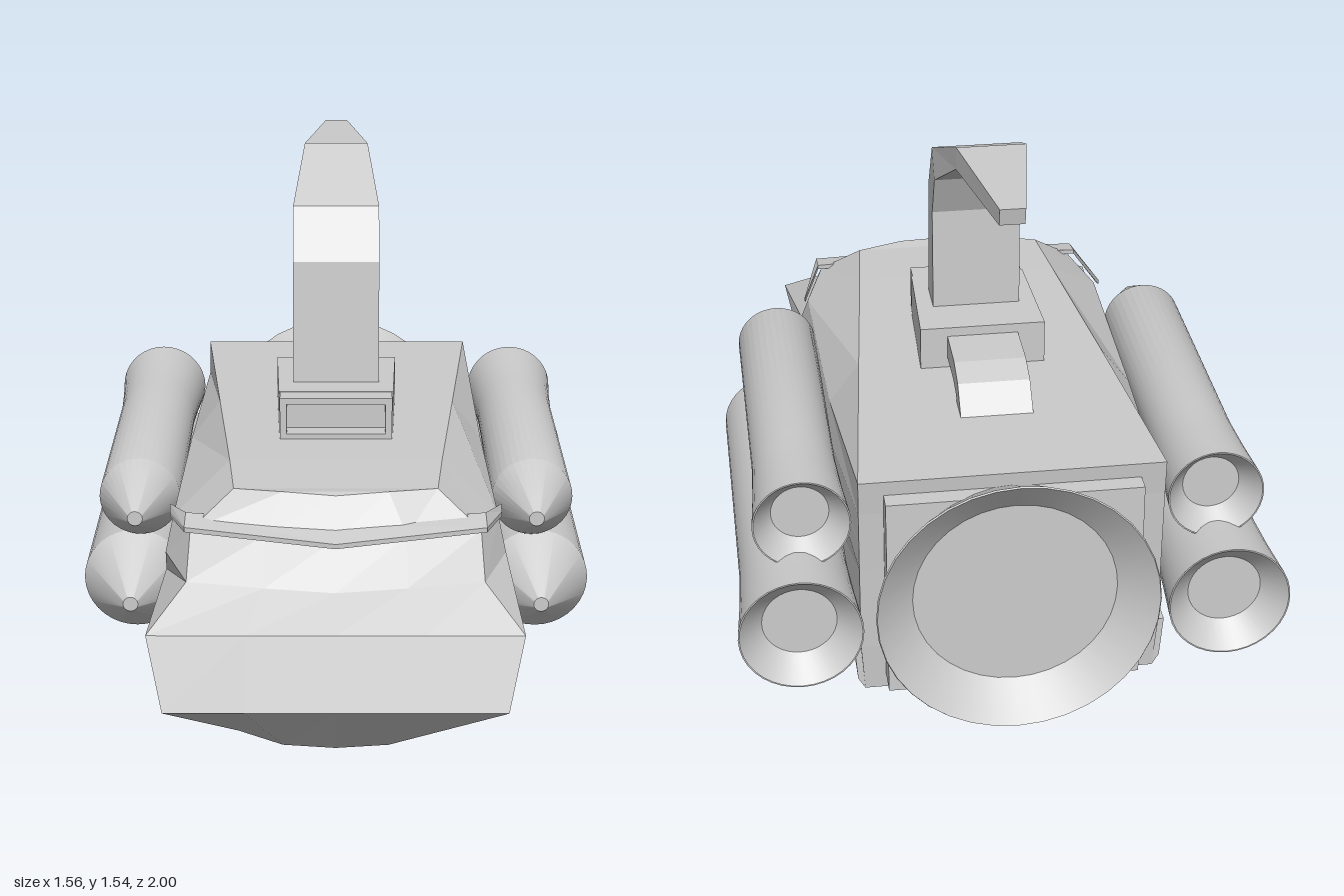
import * as THREE from 'three';
import { toCreasedNormals } from 'three/addons/utils/BufferGeometryUtils.js';

const flat = new THREE.MeshStandardMaterial({ color: 0xcccccc, flatShading: true });
const smooth = new THREE.MeshStandardMaterial({ color: 0xcccccc });

function mesh(name, geometry, material = flat) {
  const m = new THREE.Mesh(geometry, material);
  m.name = name;
  return m;
}

// Skins a list of rings; rings run counter-clockwise seen from the last ring's side.
// End caps join point i to point n-1-i.
function loft(rings) {
  const pos = [];
  const tri = (a, b, c) => {
    const [A, B, C] = [a, b, c].map((p) => new THREE.Vector3(...p));
    if (B.sub(A).cross(C.sub(A)).length() > 1e-9) pos.push(...a, ...b, ...c);
  };
  const quad = (a, b, c, d) => { tri(a, b, c); tri(a, c, d); };
  const n = rings[0].length;
  for (let r = 0; r < rings.length - 1; r++) {
    const [a, b] = [rings[r], rings[r + 1]];
    for (let i = 0; i < n; i++) {
      const j = (i + 1) % n;
      quad(a[i], a[j], b[j], b[i]);
    }
  }
  const first = rings[0], last = rings[rings.length - 1];
  for (let i = 0; i < n / 2 - 1; i++) {
    quad(last[i], last[i + 1], last[n - 2 - i], last[n - 1 - i]);
    quad(first[n - 1 - i], first[n - 2 - i], first[i + 1], first[i]);
  }
  const g = new THREE.BufferGeometry();
  g.setAttribute('position', new THREE.Float32BufferAttribute(pos, 3));
  g.computeVertexNormals();
  return g;
}

// Half outline, front to back, completed by its mirror image
const mirrored = (half) => [...half, ...half.map(([x, y, z]) => [-x, y, z]).reverse()];

// Bent bar from stations [halfWidth, frontY, frontZ, backY, backZ]
const bar = (stations) => loft(stations.map(([w, fy, fz, by, bz]) => mirrored([[w, fy, fz], [w, by, bz]])));

// Turned part along z, profile points [radius, z] from rear to front
function turned(profile) {
  const g = new THREE.LatheGeometry(profile.map(([r, z]) => new THREE.Vector2(r, z)), 36);
  g.rotateX(Math.PI / 2);
  return toCreasedNormals(g, 0.5);
}

export function createModel() {
  const model = new THREE.Group();
  model.name = 'rocketVehicle';

  // Hull: outlines stacked from keel to roof, points [x, y, z]
  model.add(mesh('hull', loft([
    [[0, 0.065, 0.8], [0.15, 0.07, 0.79], [0.28, 0.07, 0.7], [0.37, 0.065, 0.3], [0.42, 0.06, -0.12], [0.42, 0.055, -0.82]],
    [[0, 0.27, 1], [0.25, 0.27, 1], [0.475, 0.27, 1], [0.47, 0.24, 0.3], [0.45, 0.2, -0.12], [0.43, 0.2, -0.83]],
    [[0, 0.47, 0.93], [0.25, 0.47, 0.93], [0.52, 0.47, 0.93], [0.495, 0.47, 0.45], [0.475, 0.47, -0.2], [0.43, 0.47, -0.84]],
    [[0, 0.545, 0.81], [0.2, 0.555, 0.8], [0.415, 0.57, 0.79], [0.49, 0.555, 0.53], [0.47, 0.56, -0.2], [0.43, 0.56, -0.845]],
    [[0, 0.66, 0.7], [0.2, 0.665, 0.68], [0.41, 0.67, 0.65], [0.47, 0.645, 0.47], [0.455, 0.65, -0.2], [0.43, 0.66, -0.85]],
    [[0, 0.765, 0.63], [0.15, 0.77, 0.61], [0.29, 0.765, 0.57], [0.31, 0.77, 0.35], [0.365, 0.77, -0.2], [0.43, 0.765, -0.86]],
  ].map(mirrored))));

  // Lower skirt under the rear half
  model.add(mesh('skirt', loft([
    [[0.42, 0.05, -0.14], [0.42, 0.05, -0.82]],
    [[0.44, 0.085, -0.125], [0.44, 0.085, -0.82]],
    [[0.45, 0.21, -0.07], [0.45, 0.21, -0.82]],
  ].map(mirrored))));

  // Visor wrapping over the windscreen: [x, outerY, outerZ, innerY, innerZ]
  const half = [[0.48, 0.642, 0.47, 0.655, 0.44], [0.425, 0.675, 0.68, 0.69, 0.6], [0, 0.652, 0.75, 0.675, 0.66]];
  const visor = [...half.slice(0, 2).map(([x, ...r]) => [-x, ...r]), ...half.slice().reverse()];
  model.add(mesh('visor', loft(visor.map(([x, oy, oz, iy, iz]) =>
    [[x, oy, oz], [x, iy, iz], [x, iy + 0.014, iz], [x, oy + 0.014, oz]]))));

  // Rear plate and main nozzle
  const plate = mesh('rearPlate', new THREE.BoxGeometry(0.72, 0.62, 0.1));
  plate.position.set(0, 0.41, -0.86);
  model.add(plate);
  const nozzle = mesh('mainNozzle', turned([[0, -0.915], [0.29, -0.915], [0.397, -1], [0.4, -0.995], [0.31, -0.84], [0, -0.84]]), smooth);
  nozzle.position.y = 0.405;
  model.add(nozzle);

  // Two boosters on each side: [name, x, y, radius, flareRadius, shoulderZ, rearZ]
  for (const [name, x, y, r, flare, shoulder, rear] of [
    ['upperBooster', 0.585, 0.62, 0.12, 0.138, 0.25, -0.82],
    ['lowerBooster', 0.605, 0.35, 0.155, 0.175, 0.23, -0.96],
  ]) {
    const g = turned([
      [0, rear + 0.07], [r * 0.68, rear + 0.07], [flare - 0.004, rear], [flare, rear],
      [r + (flare - r) * 0.4, rear + 0.15], [r, rear + 0.3],
      [r, shoulder], [0.022, 0.435], [0, 0.435],
    ]);
    for (const side of [1, -1]) {
      const booster = mesh((side > 0 ? 'left ' : 'right ') + name, g, smooth);
      booster.position.set(side * x, y, 0);
      model.add(booster);
    }
  }

  // Roof pedestal with a recessed front
  const pedestal = new THREE.Group();
  pedestal.name = 'pedestal';
  pedestal.add(mesh('pedestalBody', loft([
    [[0.172, 0.76, 0.1], [0.185, 0.76, -0.25]],
    [[0.172, 0.9, 0.1], [0.185, 0.9, -0.25]],
  ].map(mirrored))));
  const rect = (s, w, y0, y1) => s.moveTo(-w, y0).lineTo(w, y0).lineTo(w, y1).lineTo(-w, y1).closePath();
  const frame = rect(new THREE.Shape(), 0.168, 0.762, 0.898);
  frame.holes.push(rect(new THREE.Path(), 0.148, 0.785, 0.878));
  const rim = mesh('pedestalFrame', new THREE.ExtrudeGeometry(frame, { depth: 0.06, bevelEnabled: false }));
  rim.position.z = 0.1;
  pedestal.add(rim);
  model.add(pedestal);

  // Curved duct behind the pedestal
  model.add(mesh('duct', bar([
    [0.105, 0.872, -0.24, 0.8, -0.24], [0.105, 0.868, -0.4, 0.8, -0.38],
    [0.105, 0.84, -0.48, 0.785, -0.44], [0.105, 0.765, -0.55, 0.765, -0.46],
  ])));

  // Mast sweeping up and back to a narrow tip
  model.add(mesh('mast', bar([
    [0.13, 0.89, 0.01, 0.89, -0.11], [0.13, 1.27, -0.02, 1.21, -0.105], [0.13, 1.42, -0.11, 1.34, -0.165],
    [0.098, 1.548, -0.41, 1.478, -0.4], [0.035, 1.54, -0.805, 1.49, -0.795],
  ])));

  return model;
}
